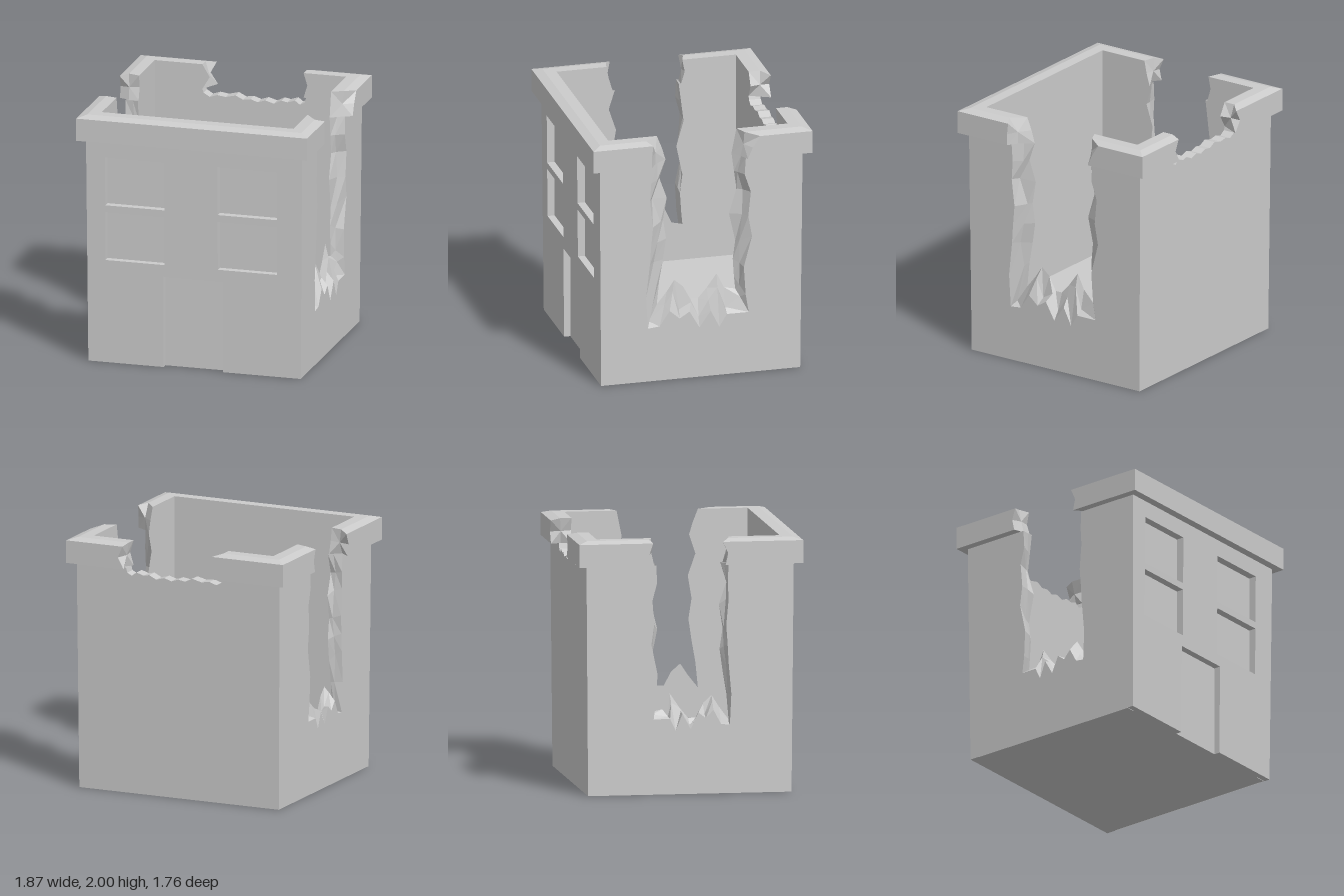
import * as THREE from 'three';

const IX = 0.775, IZ = 0.72;   // inside half width and half depth
const OX = 0.86, OZ = 0.8;     // outside half width and half depth at the ground
const WALL = 1.8, FLOOR = 0.34, LEAN = 0.015;

const material = new THREE.MeshStandardMaterial({ color: 0xcccccc, flatShading: true, side: THREE.DoubleSide });
const lean = (y) => (LEAN * y) / WALL;

function add(group, name, geometry) {
  const flat = geometry.index ? geometry.toNonIndexed() : geometry;
  flat.computeVertexNormals();
  const mesh = new THREE.Mesh(flat, material);
  mesh.name = name;
  group.add(mesh);
  return mesh;
}

// Walls spread slightly outwards towards the top
function spread(geometry) {
  const p = geometry.attributes.position;
  for (let i = 0; i < p.count; i++) {
    const x = p.getX(i), y = p.getY(i), z = p.getZ(i);
    if (Math.abs(x) > OX - 0.01) p.setX(i, Math.sign(x) * (OX + lean(y)));
    if (Math.abs(z) > OZ - 0.01) p.setZ(i, Math.sign(z) * (OZ + lean(y)));
  }
  return geometry;
}

// Surface through rows of points
function grid(rows, flip = false) {
  const n = rows[0].length, index = [];
  for (let i = 0; i + 1 < rows.length; i++) {
    for (let j = 0; j + 1 < n; j++) {
      const a = i * n + j, b = a + n;
      const tris = [];
      if (rows[i][j] !== rows[i][j + 1]) tris.push([a, b, a + 1]);
      if (rows[i + 1][j] !== rows[i + 1][j + 1]) tris.push([b, b + 1, a + 1]);
      for (const [p, q, r] of tris) index.push(...(flip ? [p, r, q] : [p, q, r]));
    }
  }
  const g = new THREE.BufferGeometry();
  g.setAttribute('position', new THREE.Float32BufferAttribute(rows.flat(2), 3));
  g.setIndex(index);
  return g;
}

// Breach outlines as [z, y], from the front edge down and up the back edge
const BREACH_OUT = [
  [0.41, 1.8], [0.4, 1.65], [0.41, 1.5], [0.385, 1.28], [0.4, 1.12], [0.41, 0.97], [0.44, 0.7], [0.425, 0.44],
  [0.33, 0.45], [0.25, 0.57], [0.17, 0.5], [0.09, 0.55], [0.01, 0.41], [-0.08, 0.54], [-0.15, 0.4], [-0.21, 0.5],
  [-0.385, 0.5], [-0.36, 0.65], [-0.345, 0.88], [-0.41, 1.13], [-0.38, 1.3], [-0.4, 1.5], [-0.35, 1.65], [-0.36, 1.8]];
const BREACH_IN = [
  [0.26, 1.8], [0.31, 1.65], [0.25, 1.48], [0.28, 1.3], [0.255, 1.14], [0.28, 0.97], [0.31, 0.8], [0.33, 0.6],
  [0.25, 0.7], [0.19, 0.79], [0.12, 0.73], [0.06, 0.62], [0.0, 0.62], [-0.07, 0.7], [-0.15, 0.81], [-0.21, 0.69],
  [-0.3, 0.67], [-0.29, 0.77], [-0.28, 0.92], [-0.3, 1.07], [-0.25, 1.3], [-0.31, 1.5], [-0.29, 1.65], [-0.27, 1.8]];

// One side of a broken wall, lying at x = xAt(y)
function wallFace(breach, halfZ, xAt, flip) {
  const pts = [[-halfZ(0), 0], [halfZ(0), 0], [halfZ(WALL), WALL], ...breach, [-halfZ(WALL), WALL]];
  const g = new THREE.ShapeGeometry(new THREE.Shape(pts.map(([u, v]) => new THREE.Vector2(u, v))));
  const p = g.attributes.position;
  for (let i = 0; i < p.count; i++) {
    const u = p.getX(i), v = p.getY(i);
    p.setXYZ(i, xAt(v), v, u);
  }
  if (flip) g.index.array.reverse();
  return g;
}

function sideWall(s) {
  const wall = new THREE.Group();
  wall.name = s > 0 ? 'leftWall' : 'rightWall';
  // The breach on the right side is narrower and shallower
  const outer = s > 0 ? BREACH_OUT : BREACH_OUT.map(([z, y]) => [z * 0.74, y + 0.07 * (WALL - y)]);
  const inner = s > 0 ? BREACH_IN : BREACH_IN.map(([z, y]) => [z * 0.97, y - 0.03 * (WALL - y)]);
  const xOut = (y) => s * (OX + lean(y)), xIn = () => s * IX;
  add(wall, 'outerFace', wallFace(outer, (y) => OZ + lean(y), xOut, s > 0));
  add(wall, 'innerFace', wallFace(inner, () => IZ, xIn, s < 0));
  const rows = outer.map(([z, y], i) => {
    const [zi, yi] = inner[i];
    const t = 0.5 + 0.3 * Math.sin(i * 2.4);
    const ym = y + (yi - y) * t, zm = z + (zi - z) * t;
    return [[xOut(y), y, z], [s * (0.81 + 0.008 * Math.sin(i * 1.7)), ym, zm], [xIn(), yi, zi]];
  });
  add(wall, 'brokenEdge', grid(rows, s < 0));
  return wall;
}

// Cornice section as [outward offset, y]
const CORNICE = [[0, 1.8], [0, 1.9], [0, 2], [0.09, 2], [0.16, 1.98], [0.16, 1.89], [0.16, 1.8], [0.08, 1.8]];
const corner = (sx, sz) => CORNICE.map(([d, y]) => [sx * (IX + d), y, sz * (IZ + d)]);
const sideEnd = (sx, cut) => CORNICE.map(([d, y], i) => [sx * (IX + d), y, cut[i]]);
const backEnd = (cut) => CORNICE.map(([d, y], i) => [cut[i], y, -(IZ + d)]);

// Cornice run with ragged, closed ends
function cornice(stations) {
  const cap = (ring) => {
    const c = [0, 1, 2].map((k) => ring.reduce((sum, p) => sum + p[k], 0) / ring.length);
    return Array(ring.length + 1).fill(c);
  };
  const rows = stations.map((ring) => [...ring, ring[0]]);
  return grid([cap(stations[0]), ...rows, cap(stations.at(-1))]);
}

const rectangle = (x0, y0, x1, y1) =>
  new THREE.Path([[x0, y0], [x1, y0], [x1, y1], [x0, y1]].map(([x, y]) => new THREE.Vector2(x, y)));

function extrude(points, holes, depth, z) {
  const shape = new THREE.Shape(points.map(([x, y]) => new THREE.Vector2(x, y)));
  shape.holes = holes;
  return new THREE.ExtrudeGeometry(shape, { depth, bevelEnabled: false }).translate(0, 0, z);
}

function box(w, h, d, x, y, z) {
  return new THREE.BoxGeometry(w, h, d).translate(x, y, z);
}

export function createModel() {
  const model = new THREE.Group();
  model.name = 'ruinedBuilding';

  // Front wall with recessed windows and doorway
  const windows = [];
  for (const [x0, x1] of [[-0.72, -0.24], [0.19, 0.67]])
    for (const [y0, y1] of [[0.83, 1.22], [1.275, 1.665]]) windows.push(rectangle(x0, y0, x1, y1));
  const front = [[-OX, 0], [-0.25, 0], [-0.25, 0.735], [0.23, 0.735], [0.23, 0], [OX, 0], [OX, WALL], [-OX, WALL]];
  add(model, 'frontWall', spread(extrude(front, windows, 0.05, OZ - 0.05)));
  add(model, 'frontWallBacking', box(IX * 2, WALL, 0.03, 0, WALL / 2, 0.735));

  // Back wall with a crumbled top edge
  const crumble = [[0.45, 1.8], [0.44, 1.76], [0.4, 1.74], [0.36, 1.77], [0.3, 1.75], [0.25, 1.76], [0.19, 1.73], [0.12, 1.75],
    [0.06, 1.73], [0, 1.75], [-0.06, 1.74], [-0.12, 1.77], [-0.2, 1.75], [-0.27, 1.76], [-0.33, 1.74], [-0.38, 1.77], [-0.39, 1.8]];
  const back = [[-OX, 0], [OX, 0], [OX, WALL], ...crumble, [-OX, WALL]];
  add(model, 'backWall', spread(extrude(back, [], OZ - IZ, -OZ)));

  // Breached side walls
  model.add(sideWall(1), sideWall(-1));

  // Floor and underside
  add(model, 'floor', box(IX * 2, FLOOR, IZ * 2, 0, FLOOR / 2, 0));
  add(model, 'base', box(OX * 2 - 0.01, 0.01, 1.54, 0, 0.005, -0.025));

  // Cornice in three broken runs
  add(model, 'frontCornice', cornice([
    sideEnd(1, [0.26, 0.29, 0.33, 0.44, 0.4, 0.41, 0.41, 0.36]), corner(1, 1), corner(-1, 1),
    sideEnd(-1, [0.27, 0.3, 0.32, 0.3, 0.25, 0.29, 0.27, 0.34])]));
  add(model, 'backRightCornice', cornice([
    sideEnd(-1, [-0.28, -0.31, -0.29, -0.32, -0.3, -0.33, -0.31, -0.28]), corner(-1, -1),
    backEnd([-0.39, -0.33, -0.39, -0.39, -0.32, -0.37, -0.31, -0.35])]));
  add(model, 'backLeftCornice', cornice([
    backEnd([0.43, 0.46, 0.43, 0.43, 0.45, 0.49, 0.44, 0.47]), corner(1, -1),
    sideEnd(1, [-0.27, -0.29, -0.31, -0.35, -0.46, -0.4, -0.36, -0.32])]));

  // Small shards lying on the floor, as [x, z, radius]
  const shards = [[0.57, -0.43, 0.03], [0.64, -0.25, 0.025], [0.69, -0.15, 0.015], [0.51, 0.08, 0.018],
    [0.44, 0.2, 0.04], [0.57, 0.24, 0.018], [0.51, 0.45, 0.01]];
  shards.forEach(([x, z, r], i) => {
    const shard = add(model, 'shard', new THREE.ConeGeometry(r, r * 2, 4).scale(0.6, 1, 1.2));
    shard.position.set(x, FLOOR + r * 0.9, z);
    shard.rotation.y = i * 0.3;
  });
  return model;
}
